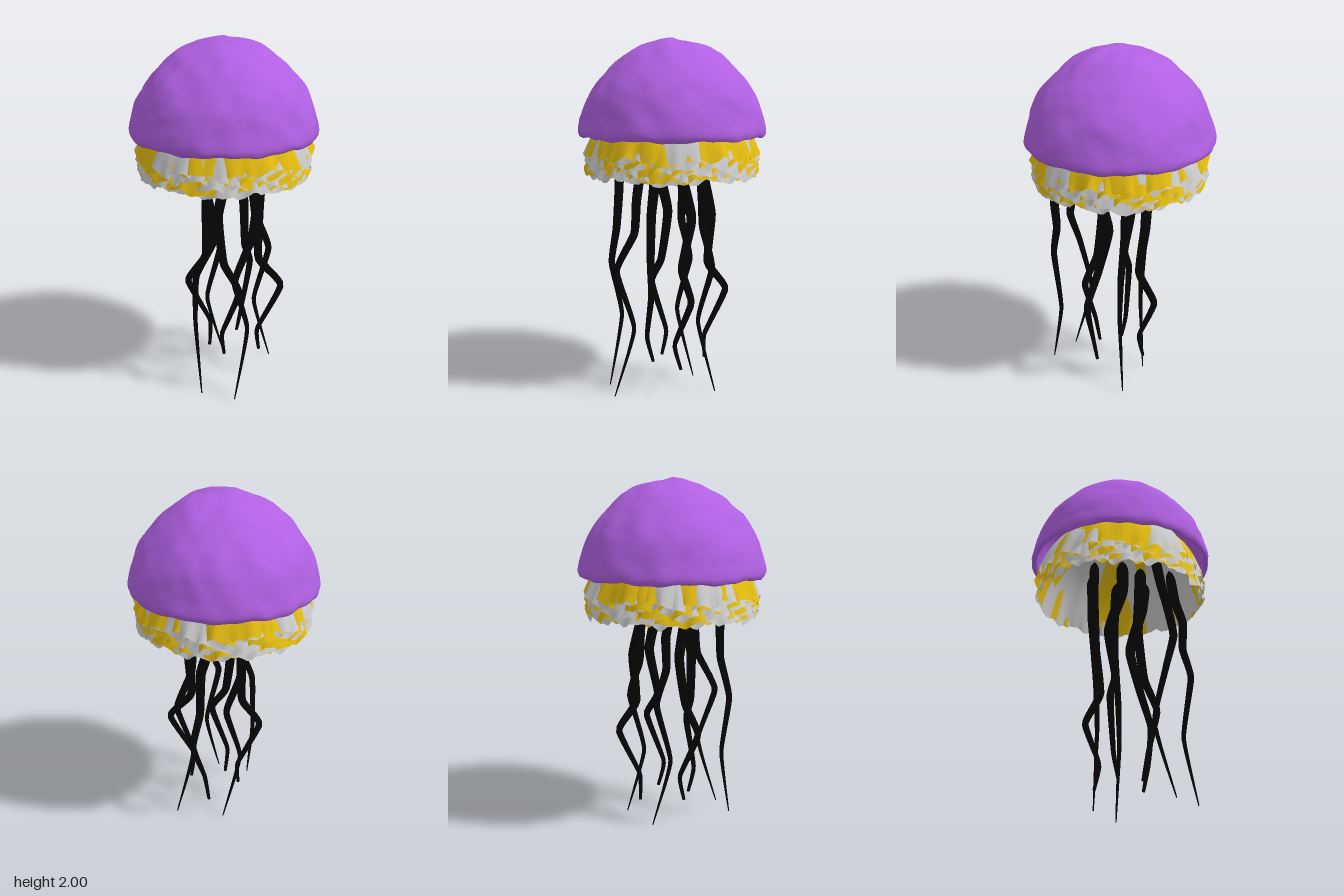
import * as THREE from 'three';

const mat = (color) => new THREE.MeshStandardMaterial({ color, roughness: 0.8, side: THREE.DoubleSide });
const purple = mat(0xb060e2), yellow = mat(0xe4bc10), grey = mat(0xcccccc), black = mat(0x050505);

// Smooth repeatable lumps over a position in space: broad swells plus scattered dents
function lumps(x, y, z) {
  const a = Math.sin(9 * x + 2 * Math.sin(7 * z)) * Math.sin(11 * y + 1) * Math.sin(10 * z + 2);
  const b = Math.sin(17 * x + 2 * Math.sin(9 * y)) * Math.sin(16 * z + 2 * Math.sin(8 * x) + 1);
  const c = Math.sin(24 * x + 1) * Math.sin(26 * z + 2) * Math.sin(25 * y);
  return a + 0.35 * b + 0.7 * Math.max(0, Math.abs(c) - 0.35) * Math.sign(c);
}

// Closed ring surface: point(u, angle) -> Vector3, u runs from the crown to the rim
function shell(name, material, rows, cols, point) {
  const pos = [], index = [];
  for (let i = 0; i <= rows; i++) {
    for (let j = 0; j < cols; j++) {
      pos.push(...point(i / rows, (j / cols) * Math.PI * 2).toArray());
      if (i === rows) continue;
      const a = i * cols + j, b = i * cols + (j + 1) % cols;
      index.push(a, a + cols, b, b, a + cols, b + cols);
    }
  }
  const geo = new THREE.BufferGeometry();
  geo.setAttribute('position', new THREE.Float32BufferAttribute(pos, 3));
  geo.setIndex(index);
  geo.computeVertexNormals();
  const mesh = new THREE.Mesh(geo, material);
  mesh.name = name;
  return mesh;
}

// Bell: lumpy dome with a wavy rim
function makeBell() {
  const profile = new THREE.CatmullRomCurve3([
    [0, 1.995], [0.14, 1.966], [0.27, 1.9], [0.39, 1.79], [0.467, 1.68],
    [0.508, 1.57], [0.528, 1.48], [0.515, 1.453], [0.497, 1.47],
  ].map(([r, y]) => new THREE.Vector3(r, y, 0)));
  return shell('bell', purple, 64, 110, (u, a) => {
    const p = profile.getPoint(u);
    const s = Math.sin(a), c = Math.cos(a);
    const k = 1 + 0.016 * lumps(p.x * s * 1.5, p.y * 1.5, p.x * c * 1.5);
    const wave = Math.max(0, u - 0.6) * 0.018 * (Math.sin(9 * a) + 0.6 * Math.sin(23 * a + 1));
    return new THREE.Vector3(p.x * k * s, 1.455 + (p.y - 1.455) * k + wave, p.x * k * c);
  });
}

// Skirt layer: inner dome with a gently rippled wall and a ragged, flared hem.
// sign swaps which of two paired layers lies outside, giving broad patches of each colour.
function makeSkirt(name, material, n, sign, hem) {
  return shell(name, material, 24, 150, (u, a) => {
    const t = u * Math.PI / 2;
    const patch = sign * 0.005 * (Math.sin(4 * a + n) + 0.8 * Math.sin(7 * a + 2 * n + 4 * u) + 0.5 * Math.sin(11 * a - 5 * u));
    const fold = 0.005 * Math.sin(16 * a + 2 * n);
    const edge = Math.pow(u, 7);
    const frill = edge * (0.008 * Math.sin(6 * a + n * 1.9) + 0.011 * Math.sin(17 * a + n * 2.7 + sign)
      + 0.008 * Math.sin(29 * a + n * 5.1 + 2 * sign) + 0.004 * Math.sin(47 * a + n));
    const r = (0.45 + patch + fold + 0.003 * n) * Math.sin(t) + 0.032 * edge + 0.4 * frill;
    const y = hem + (1.74 - hem) * Math.cos(t) + frill;
    return new THREE.Vector3(r * Math.sin(a), y, r * Math.cos(a));
  });
}

// Tentacle: tube along kinked points, thinning from radius top to radius tip
function makeTentacle(points, n, top, tip) {
  const curve = new THREE.CatmullRomCurve3(points.map((p) => new THREE.Vector3(...p)), false, 'catmullrom', 0.22);
  const rows = 60, sides = 10;
  const geo = new THREE.TubeGeometry(curve, rows, 1, sides);
  const pos = geo.attributes.position, v = new THREE.Vector3();
  for (let i = 0; i <= rows; i++) {
    const t = i / rows, centre = curve.getPointAt(t);
    const r = (tip + (top - tip) * Math.pow(1 - t, 0.85)) * Math.min(1, Math.sqrt(t * 25));
    for (let j = 0; j <= sides; j++) {
      const k = i * (sides + 1) + j;
      v.fromBufferAttribute(pos, k).sub(centre).multiplyScalar(r).add(centre);
      pos.setXYZ(k, v.x, v.y, v.z);
    }
  }
  geo.computeVertexNormals();
  const mesh = new THREE.Mesh(geo, black);
  mesh.name = 'tentacle' + (n + 1);
  return mesh;
}

// Heights of the kinks, then x and z at each of them
const longY = [1.45, 1.25, 1.12, 0.94, 0.72, 0.4, 0];
const shortY = [1.45, 1.25, 1.0, 0.72, 0.56, 0.29, 0.14];
const longArms = [
  [[0.28, 0.32, 0.365, 0.35, 0.345, 0.335, 0.36], [0.08, 0.07, 0.07, 0.09, 0.2, 0.1, 0.21]],
  [[0.12, 0.15, 0.19, 0.225, 0.15, 0.09, 0.19], [0.24, 0.26, 0.25, 0.25, 0.315, 0.28, 0.315]],
  [[0.04, 0.03, 0.03, 0.04, 0.085, 0.06, 0.08], [-0.17, -0.18, -0.19, -0.2, -0.27, -0.18, -0.29]],
  [[-0.17, -0.17, -0.175, -0.16, -0.12, -0.14, -0.12], [0.03, 0.02, 0, 0, -0.065, 0.02, -0.09]],
];
const shortArms = [
  [[0.11, 0.1, 0.07, 0.11, 0.2, 0.12, 0.1], [0.05, 0.06, 0.1, 0.09, 0.05, 0.11, 0.08]],
  [[-0.02, -0.02, -0.09, -0.06, -0.12, -0.06, -0.04], [0.09, 0.09, 0.06, 0.09, 0.175, 0.06, 0.08]],
  [[0.2, 0.18, 0.12, 0.17, 0.265, 0.2, 0.18], [-0.11, -0.12, -0.16, -0.12, -0.21, -0.09, -0.12]],
  [[-0.13, -0.12, -0.08, -0.05, -0.11, -0.06, -0.09], [-0.13, -0.14, -0.21, -0.2, -0.29, -0.18, -0.17]],
];

export function createModel() {
  const model = new THREE.Group();
  model.name = 'jellyfish';
  model.add(makeBell());

  // Paired yellow and grey layers, the outer ones shorter
  const skirt = new THREE.Group();
  skirt.name = 'skirt';
  [1.235, 1.27, 1.305, 1.335].forEach((hem, n) => {
    skirt.add(makeSkirt('yellowSkirt' + (n + 1), yellow, n, 1, hem + 0.012));
    skirt.add(makeSkirt('greySkirt' + (n + 1), grey, n, -1, hem));
  });
  model.add(skirt);

  const tentacles = new THREE.Group();
  tentacles.name = 'tentacles';
  [[longArms, longY, 0.031, 0.003], [shortArms, shortY, 0.036, 0.009]].forEach(([arms, ys, top, tip]) => {
    arms.forEach(([xs, zs]) => {
      const points = ys.map((y, i) => [xs[i], y, zs[i]]);
      tentacles.add(makeTentacle(points, tentacles.children.length, top, tip));
    });
  });
  model.add(tentacles);
  return model;
}
